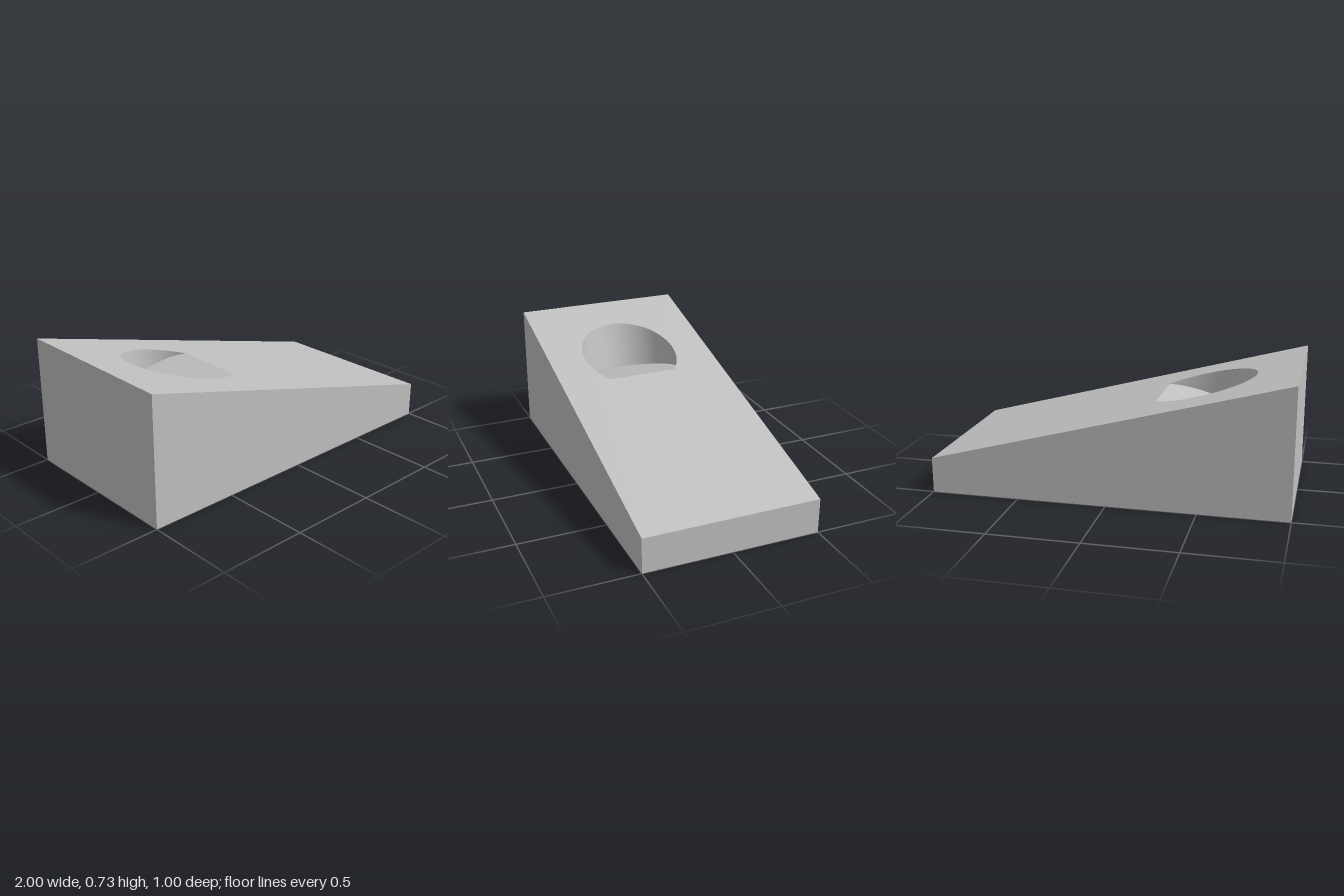
import * as THREE from 'three';

const HIGH = 0.733, LOW = 0.2, HALF = 0.5;       // wedge heights and half depth
const TILT = THREE.MathUtils.degToRad(15);       // pocket leans against the slope
const R = 0.284, CX = -0.407, CY = 0.473;        // pocket radius, floor centre
const SLOPE = (LOW - HIGH) / 2, MID = (LOW + HIGH) / 2;
const slopeY = (x) => MID + SLOPE * x;

// Flat convex polygon from corners listed counter-clockwise seen from outside
function polygon(points) {
  const pos = [];
  for (let i = 1; i < points.length - 1; i++) pos.push(...points[0], ...points[i], ...points[i + 1]);
  const geo = new THREE.BufferGeometry();
  geo.setAttribute('position', new THREE.Float32BufferAttribute(pos, 3));
  geo.computeVertexNormals();
  return geo;
}

// Pocket floor arc, running from lip to lip, and its rim on the slope
function pocketCurves(segments = 64) {
  const c = Math.cos(TILT), s = Math.sin(TILT);
  // distance along the floor at which it breaks out through the slope
  const lip = (slopeY(CX) - CY) / (s - SLOPE * c);
  const start = Math.acos(lip / R);
  const floor = [], rim = [];
  for (let i = 0; i <= segments; i++) {
    const a = start + (2 * Math.PI - 2 * start) * (i / segments);
    const d = R * Math.cos(a), z = -R * Math.sin(a);
    const x = CX + d * c, y = CY + d * s;
    const t = Math.max(0, (slopeY(x) - y) / (c + SLOPE * s));
    floor.push([x, y, z]);
    rim.push([x - s * t, y + c * t, z]);
  }
  return { floor, rim };
}

export function createModel() {
  const group = new THREE.Group();
  const grey = new THREE.MeshStandardMaterial({ color: 0xc0c0c0 });
  const add = (name, geo) => {
    const mesh = new THREE.Mesh(geo, grey);
    mesh.name = name;
    group.add(mesh);
  };

  // Outer faces of the wedge
  const h = HALF;
  add('frontSide', polygon([[-1, 0, h], [1, 0, h], [1, LOW, h], [-1, HIGH, h]]));
  add('backSide', polygon([[1, 0, -h], [-1, 0, -h], [-1, HIGH, -h], [1, LOW, -h]]));
  add('lowEnd', polygon([[1, 0, h], [1, 0, -h], [1, LOW, -h], [1, LOW, h]]));
  add('highEnd', polygon([[-1, 0, -h], [-1, 0, h], [-1, HIGH, h], [-1, HIGH, -h]]));
  add('base', polygon([[-1, 0, -h], [1, 0, -h], [1, 0, h], [-1, 0, h]]));

  // Sloping top with the pocket opening, drawn in plan and lifted onto the slope
  const { floor, rim } = pocketCurves();
  const plan = new THREE.Shape([[-1, -h], [1, -h], [1, h], [-1, h]].map((p) => new THREE.Vector2(...p)));
  plan.holes.push(new THREE.Path(rim.map(([x, , z]) => new THREE.Vector2(x, -z))));
  const top = new THREE.ShapeGeometry(plan);
  const p = top.attributes.position;
  for (let i = 0; i < p.count; i++) {
    const x = p.getX(i), v = p.getY(i);
    p.setXYZ(i, x, slopeY(x), -v);
  }
  top.computeVertexNormals();
  add('slopingTop', top);

  // Flat pocket floor
  add('pocketFloor', polygon(floor));

  // Smooth curved pocket wall between floor and rim
  const wall = new THREE.BufferGeometry();
  const index = [];
  for (let i = 0; i < floor.length - 1; i++) {
    const a = 2 * i;
    index.push(a, a + 1, a + 2, a + 1, a + 3, a + 2);
  }
  wall.setAttribute('position', new THREE.Float32BufferAttribute(floor.flatMap((f, i) => [...f, ...rim[i]]), 3));
  wall.setIndex(index);
  wall.computeVertexNormals();
  add('pocketWall', wall);

  return group;
}
